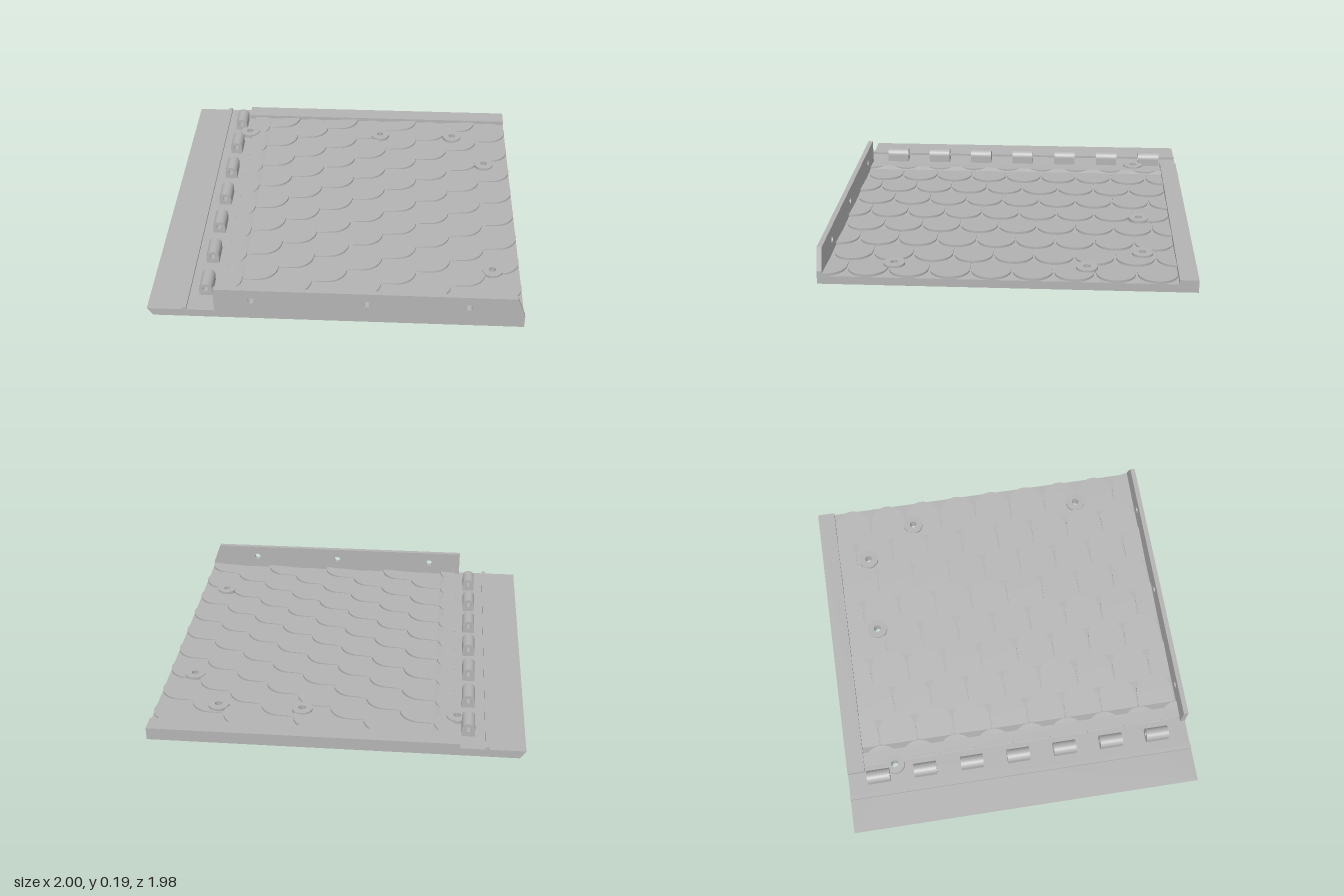
import * as THREE from 'three';

const PITCH = 0.2175, HALF = 0.104, DECK = 0.045;
const SCREWS = [[-0.64, -0.715], [0.2, -0.715], [0.66, -0.715], [0.85, -0.415], [0.85, 0.605]];

const circle = (x, y, r) => new THREE.Path().absarc(x, y, r, 0, Math.PI * 2, true);

// Plan shapes use (x, -z); extruded upwards from y0 to y1
function slab(shape, y0, y1) {
  const g = new THREE.ExtrudeGeometry(shape, { depth: y1 - y0, bevelEnabled: false, curveSegments: 24 });
  return g.rotateX(-Math.PI / 2).translate(0, y0, 0);
}

// Front profiles use (x, y); extruded from z0 to z1
function profile(shape, z0, z1) {
  const g = new THREE.ExtrudeGeometry(shape, { depth: z1 - z0, bevelEnabled: false, curveSegments: 20 });
  return g.translate(0, 0, z0);
}

const polygon = pts => new THREE.Shape(pts.map(p => new THREE.Vector2(...p)));

// One round-ended scale, cleared around screw holes and tilted so its tip stands proud
function scaleGeometry(tip, zc) {
  const cx = tip - HALF, back = Math.max(tip - 0.3, -0.615);
  const outline = [];
  const side = 24;
  for (let i = 0; i < side; i++) outline.push([back + (cx - back) * i / side, zc + HALF]);
  for (let i = 0; i <= 32; i++) {
    const a = Math.PI / 2 - Math.PI * i / 32;
    outline.push([cx + HALF * Math.cos(a), zc + HALF * Math.sin(a)]);
  }
  for (let i = side - 1; i >= 0; i--) outline.push([back + (cx - back) * i / side, zc - HALF]);

  const pts = [];
  for (let [x, z] of outline) {
    z = Math.min(0.97, Math.max(-0.9, z));
    for (const [sx, sz] of SCREWS) {
      const d = Math.hypot(x - sx, z - sz);
      if (d < 0.03) {
        x = sx + (x - sx) * 0.03 / d;
        z = sz + (z - sz) * 0.03 / d;
      }
    }
    const last = pts[pts.length - 1];
    if (!last || Math.hypot(last.x - x, last.y + z) > 1e-4) pts.push(new THREE.Vector2(x, -z));
  }
  const shape = new THREE.Shape(pts);
  for (const [sx, sz] of SCREWS) {
    const d = Math.hypot(Math.max(0, sx - cx), sz - zc);
    if (d < HALF && sx > back) shape.holes.push(circle(sx, -sz, 0.021));
  }
  const g = slab(shape, 0.04, 0.06);
  const p = g.attributes.position;
  for (let i = 0; i < p.count; i++) p.setY(i, p.getY(i) + (p.getX(i) - tip) * 0.068);
  g.computeVertexNormals();
  return g;
}

export function createModel() {
  const model = new THREE.Group();
  model.name = 'scaledRoofPanel';
  const grey = new THREE.MeshStandardMaterial({ color: 0xb3b3b3 });
  grey.name = 'plain grey';
  const add = (name, geometry, parent = model) => {
    const m = new THREE.Mesh(geometry, grey);
    m.name = name;
    parent.add(m);
    return m;
  };
  const group = name => {
    const g = new THREE.Group();
    g.name = name;
    model.add(g);
    return g;
  };

  // Base plate with screw holes and an undercut left edge
  const plate = polygon([[-1, -0.99], [1, -0.99], [1, 0.99], [-1, 0.99]]);
  SCREWS.forEach(([x, z]) => plate.holes.push(circle(x, -z, 0.02)));
  const base = slab(plate, 0, DECK);
  const p = base.attributes.position;
  for (let i = 0; i < p.count; i++) {
    if (p.getX(i) < -0.99 && p.getY(i) < 0.01) p.setX(i, -0.97);
  }
  base.computeVertexNormals();
  add('basePlate', base);

  // Thin ridge beside the hinge line
  add('ridge', new THREE.BoxGeometry(0.022, 0.02, 1.98).translate(-0.8, 0.048, 0));

  // Low rail along the back
  add('backRail', new THREE.BoxGeometry(1.66, 0.03, 0.1).translate(0.17, 0.055, -0.94));

  // Upright front wall with a sloped right end and three holes
  const wall = polygon([[-0.64, DECK], [1, DECK], [1, 0.07], [0.955, 0.19], [-0.64, 0.19]]);
  [-0.44, 0.17, 0.705].forEach(x => wall.holes.push(circle(x, 0.12, 0.019)));
  add('frontWall', profile(wall, 0.963, 0.99));

  // Smooth bed where the first scales begin
  const bed = polygon([[-0.615, 0.04], [-0.49, 0.04], [-0.55, 0.058], [-0.615, 0.056]]);
  add('scaleBed', profile(bed, -0.9, 0.97));

  // Staggered rows of scales
  const scales = group('scales');
  for (let col = 0; col < 9; col++) {
    const start = col % 2 ? -0.893 : -0.893 + PITCH / 2;
    for (let row = 0; row < 9; row++) {
      add('scale', scaleGeometry(-0.52 + 0.19 * col, start + PITCH * row), scales);
    }
  }

  // Hinge knuckles with pin holes
  const knuckle = new THREE.Shape();
  knuckle.moveTo(-0.735, 0.04);
  knuckle.lineTo(-0.665, 0.04);
  knuckle.lineTo(-0.665, 0.086);
  knuckle.absarc(-0.7, 0.086, 0.035, 0, Math.PI, false);
  knuckle.holes.push(circle(-0.7, 0.087, 0.015));
  const hinges = group('hingeKnuckles');
  for (let i = 0; i < 7; i++) {
    const z = -0.815 + 0.27 * i;
    add('hingeKnuckle', profile(knuckle, z - 0.065, z + 0.065), hinges);
  }

  // Screw bosses
  const bosses = group('screwBosses');
  for (const [x, z] of SCREWS) {
    const ring = new THREE.Shape().absarc(x, -z, 0.057, 0, Math.PI * 2, false);
    ring.holes.push(circle(x, -z, 0.02));
    add('screwBoss', slab(ring, 0.04, 0.065), bosses);
  }
  return model;
}
